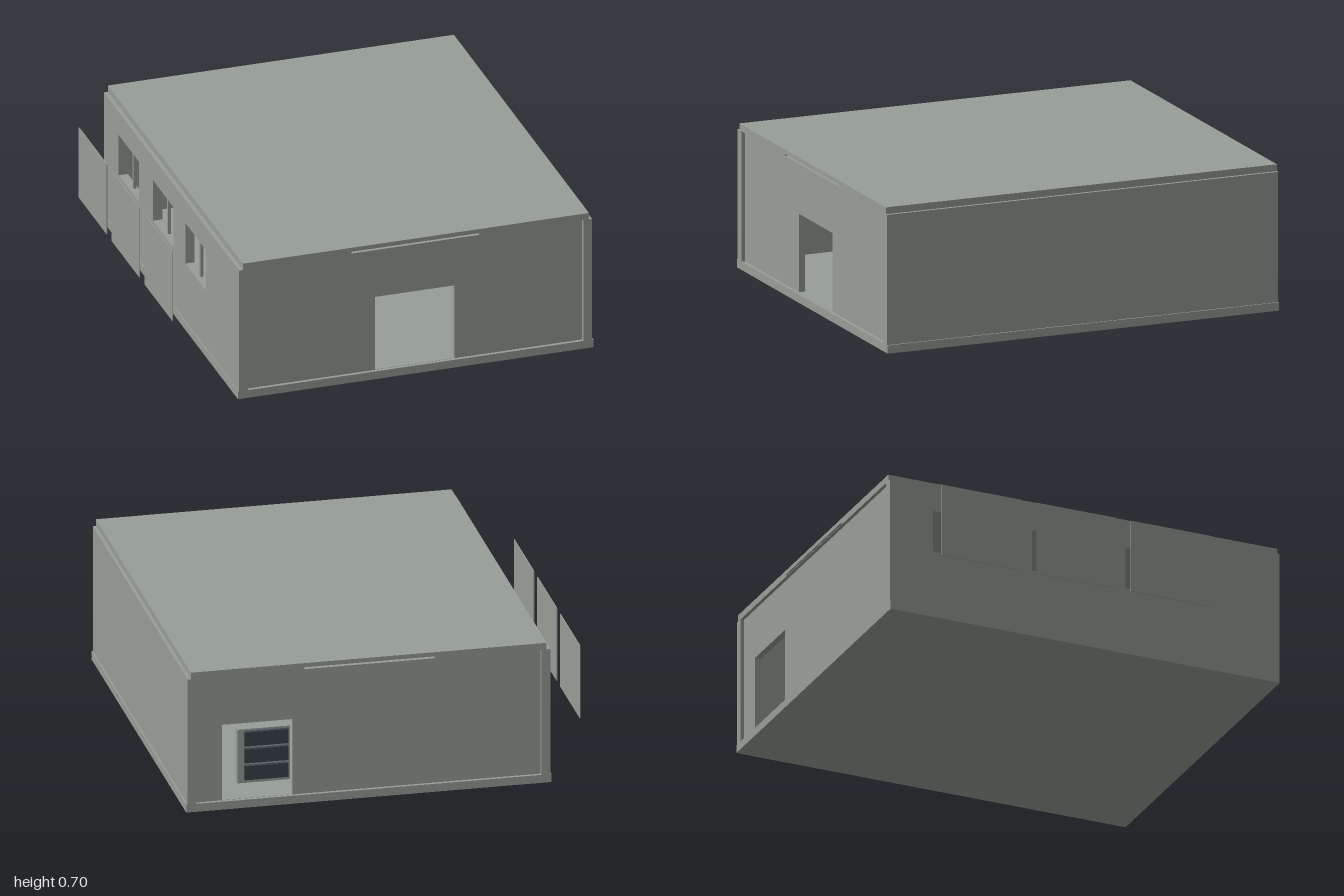
import * as THREE from 'three';

const grey = new THREE.MeshStandardMaterial({ color: 0x979d97 });
grey.name = 'concrete grey';
const dark = new THREE.MeshStandardMaterial({ color: 0x36424a });
dark.name = 'slate blue';

// Box given by its min and max on each axis
function box(name, x0, x1, y0, y1, z0, z1, material = grey) {
  const mesh = new THREE.Mesh(new THREE.BoxGeometry(x1 - x0, y1 - y0, z1 - z0), material);
  mesh.position.set((x0 + x1) / 2, (y0 + y1) / 2, (z0 + z1) / 2);
  mesh.name = name;
  return mesh;
}

function rectangle(PathType, u0, u1, v0, v1) {
  const p = new PathType();
  p.moveTo(u0, v0);
  p.lineTo(u1, v0);
  p.lineTo(u1, v1);
  p.lineTo(u0, v1);
  p.closePath();
  return p;
}

// Flat slab with rectangular holes, extruded along z
function slab(name, outline, holes, depth) {
  const shape = rectangle(THREE.Shape, ...outline);
  for (const h of holes) shape.holes.push(rectangle(THREE.Path, ...h));
  const mesh = new THREE.Mesh(new THREE.ExtrudeGeometry(shape, { depth, bevelEnabled: false }), grey);
  mesh.name = name;
  return mesh;
}

export function createModel() {
  const model = new THREE.Group();
  model.name = 'building';

  // Floor slab, and roof with a narrow slot running front to back
  model.add(box('floor', -0.79, 0.965, 0, 0.04, -1, 1));
  const roof = slab('roof', [-0.765, 0.943, 0.67, 0.703], [[-0.23, 0.4, 0.673, 0.682]], 2);
  roof.position.z = -1;
  model.add(roof);

  // End walls, set back slightly, each with a doorway
  const front = slab('frontWall', [-0.74, 0.915, 0.04, 0.67], [[-0.108, 0.285, 0.041, 0.42]], 0.03);
  front.position.z = 0.953;
  const back = slab('backWall', [-0.74, 0.915, 0.04, 0.67], [[0.45, 0.79, 0.041, 0.42]], 0.03);
  back.position.z = -0.983;
  model.add(front, back);

  // Side walls: one plain, one with three windows
  model.add(box('leftWall', 0.915, 0.958, 0.04, 0.67, -1, 1));
  const windows = [[-0.78, -0.48], [-0.27, 0.03], [0.21, 0.51]];
  const right = slab('windowWall', [-1, 1, 0.04, 0.67], windows.map(([a, b]) => [a, b, 0.34, 0.55]), 0.045);
  right.geometry.rotateY(-Math.PI / 2);
  right.position.x = -0.74;
  model.add(right);
  for (const [a, b] of windows) {
    const mid = (a + b) / 2;
    model.add(box('windowMullion', -0.765, -0.75, 0.34, 0.55, mid - 0.008, mid + 0.008));
  }

  // Free-standing panels outside the windows
  for (const [z0, z1] of [[-0.82, -0.405], [-0.33, 0.08], [0.155, 0.57]]) {
    model.add(box('outerPanel', -0.97, -0.966, 0.235, 0.6, z0, z1));
  }

  // Counter with a screen, posts and a dark board behind it
  const counter = new THREE.Group();
  counter.name = 'counter';
  counter.add(
    box('counterBody', -0.085, 0.2, 0.04, 0.16, -0.2, 0),
    box('counterTop', -0.09, 0.205, 0.16, 0.167, -0.205, 0.005),
    box('counterScreen', -0.07, 0, 0.172, 0.24, -0.09, -0.07, dark),
    box('screenStand', -0.045, -0.025, 0.167, 0.18, -0.1, -0.08),
    box('board', -0.2, 0.225, 0.272, 0.36, -0.22, -0.2, dark)
  );
  for (const x of [-0.085, 0.19]) counter.add(box('boardPost', x, x + 0.01, 0.04, 0.66, -0.24, -0.225));
  model.add(counter);

  // Row of three small screens beside the front doorway
  for (let i = 0; i < 3; i++) {
    const x = -0.255 + i * 0.05;
    model.add(box('smallScreen', x, x + 0.045, 0.14, 0.21, 0.67, 0.71, dark));
  }
  model.add(box('screenShelf', -0.26, -0.108, 0.13, 0.14, 0.64, 0.71));

  // Cabinet with a dark face near the back doorway
  model.add(box('cabinet', 0.42, 0.67, 0.04, 0.31, -0.79, -0.74));
  for (let i = 0; i < 3; i++) {
    const y = 0.06 + i * 0.085;
    model.add(box('cabinetPanel', 0.43, 0.64, y, y + 0.07, -0.81, -0.79, dark));
  }
  return model;
}
